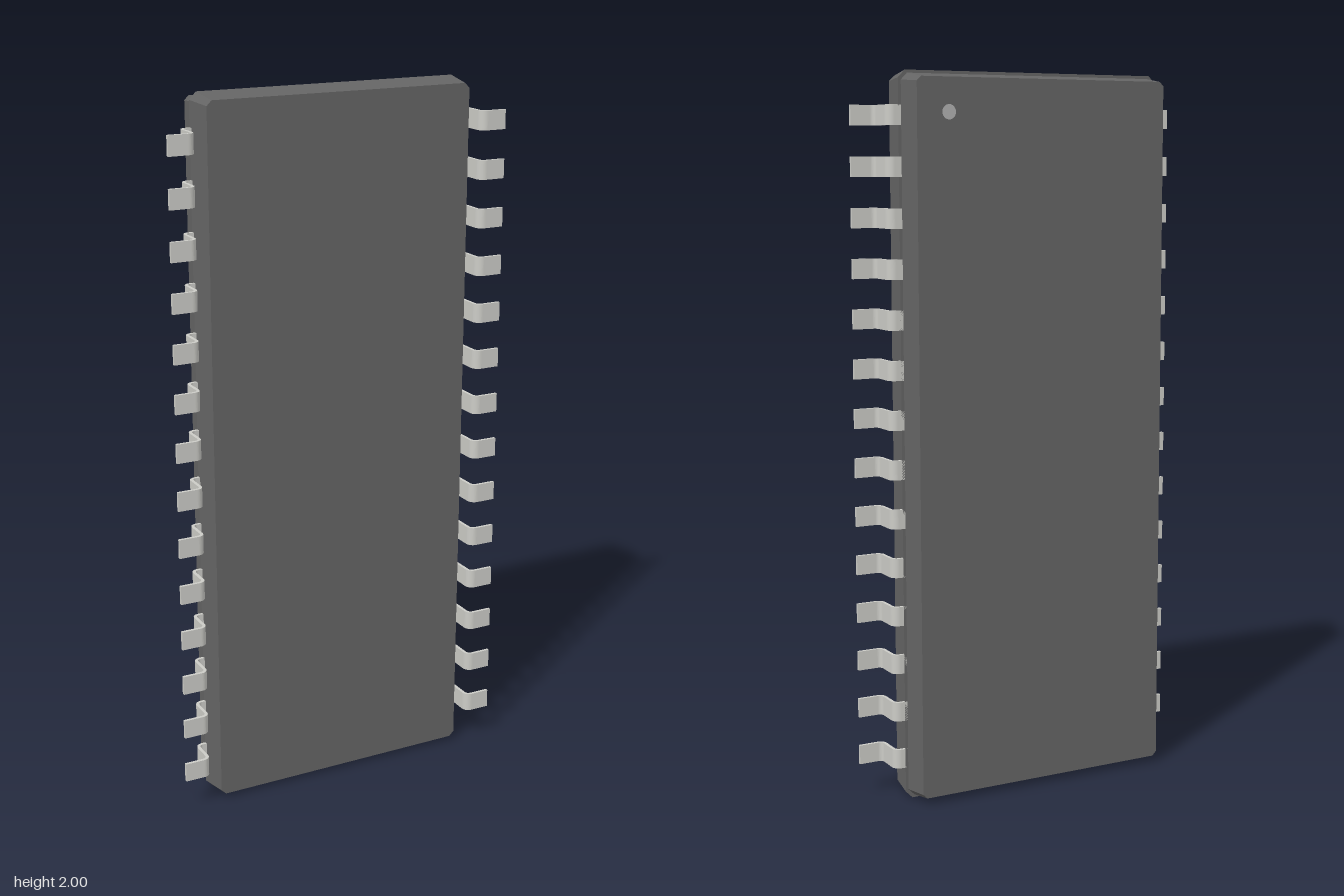
import * as THREE from 'three';
import { ConvexGeometry } from 'three/addons/geometries/ConvexGeometry.js';

const bodyMat = new THREE.MeshStandardMaterial({ color: 0x646464 });
const metalMat = new THREE.MeshStandardMaterial({ color: 0xcbcbc6 });
const markMat = new THREE.MeshStandardMaterial({ color: 0xb0b0b0 });

const SEAM = -0.01;

// Corners of a chamfered rectangle at depth z
function outline(halfW, halfH, chamfer, z) {
  const points = [];
  for (const sx of [-1, 1]) for (const sy of [-1, 1]) {
    points.push(new THREE.Vector3(sx * (halfW - chamfer), 1 + sy * halfH, z));
    points.push(new THREE.Vector3(sx * halfW, 1 + sy * (halfH - chamfer), z));
  }
  return points;
}

function bodyHalf(name, atSeam, atFace) {
  const mesh = new THREE.Mesh(new ConvexGeometry([...atSeam, ...atFace]), bodyMat);
  mesh.name = name;
  return mesh;
}

// Gull-wing strip: x outward, second axis is depth, extruded along the height
function leadGeometry() {
  const t = 0.009, r = 0.012, R = r + t, width = 0.054;
  const top = SEAM, foot = 0.085, outer = 0.432, tip = 0.5;
  const bendX = outer - R, bendX2 = outer + r;
  const s = new THREE.Shape();
  s.moveTo(0.36, top);
  s.lineTo(bendX, top);
  s.absarc(bendX, top + R, R, -Math.PI / 2, 0, false);
  s.absarc(bendX2, foot - R, r, Math.PI, Math.PI / 2, true);
  s.lineTo(tip, foot - t);
  s.lineTo(tip, foot);
  s.lineTo(bendX2, foot);
  s.absarc(bendX2, foot - R, R, Math.PI / 2, Math.PI, false);
  s.absarc(bendX, top + R, r, 0, -Math.PI / 2, true);
  s.lineTo(0.36, top + t);
  const g = new THREE.ExtrudeGeometry(s, { depth: width, bevelEnabled: false, curveSegments: 6 });
  return g.translate(0, 0, -width / 2).rotateX(Math.PI / 2);
}

export function createModel() {
  const model = new THREE.Group();
  model.name = 'chipPackage';

  // Moulded body: two tapered halves with a small step at the seam
  model.add(bodyHalf('frontBody', outline(0.4, 1, 0.02, SEAM), outline(0.388, 0.987, 0.014, 0.074)));
  model.add(bodyHalf('backBody', outline(0.392, 0.992, 0.018, SEAM), outline(0.381, 0.981, 0.012, -0.085)));

  // Round orientation mark on the back face
  const mark = new THREE.Mesh(new THREE.CircleGeometry(0.02, 32), markMat);
  mark.name = 'orientationMark';
  mark.rotation.y = Math.PI;
  mark.position.set(0.288, 1.89, -0.0858);
  model.add(mark);

  // Fourteen leads on each side
  const geometry = leadGeometry();
  for (const side of [1, -1]) {
    const row = new THREE.Group();
    row.name = side > 0 ? 'leftLeads' : 'rightLeads';
    for (let i = 0; i < 14; i++) {
      const lead = new THREE.Mesh(geometry, metalMat);
      lead.name = 'lead' + (i + 1);
      lead.position.y = 1 + (i - 6.5) * 0.1358;
      lead.rotation.z = side > 0 ? 0 : Math.PI;
      row.add(lead);
    }
    model.add(row);
  }
  return model;
}
